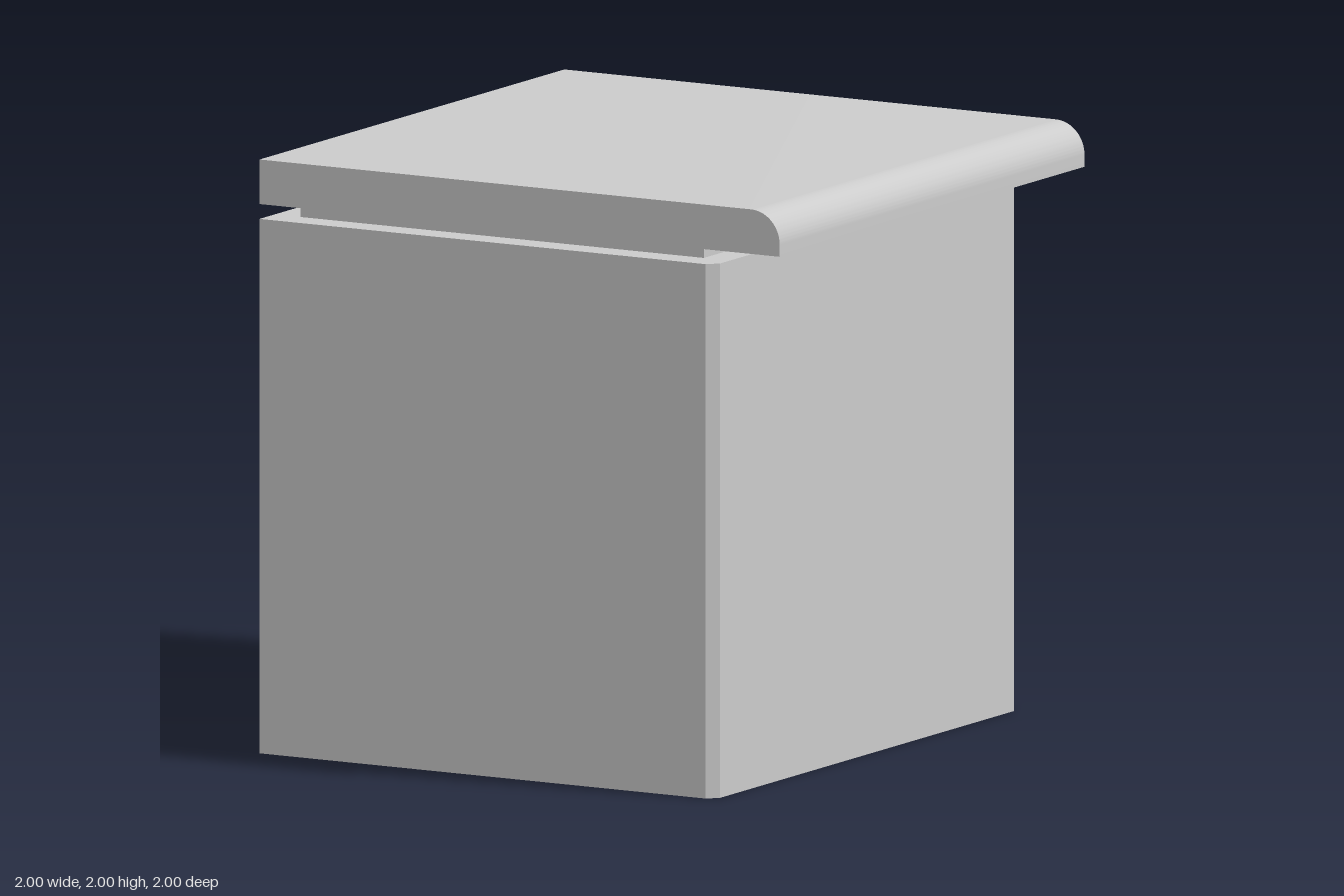
import * as THREE from 'three';
import { toCreasedNormals, mergeGeometries } from 'three/addons/utils/BufferGeometryUtils.js';

const grey = new THREE.MeshStandardMaterial({ color: 0xcccccc, side: THREE.DoubleSide });

function part(name, geometry) {
  const mesh = new THREE.Mesh(geometry, grey);
  mesh.name = name;
  return mesh;
}

// Box given by its extents on each axis
function block(x0, x1, y0, y1, z0, z1) {
  return new THREE.BoxGeometry(x1 - x0, y1 - y0, z1 - z0)
    .translate((x0 + x1) / 2, (y0 + y1) / 2, (z0 + z1) / 2);
}

export function createModel() {
  const model = new THREE.Group();
  model.name = 'cabinet';

  // Body: thin walls, open underneath, with both right corners chamfered
  const height = 1.8;
  const outline = [[-1, 1], [0.715, 1], [0.75, 0.965], [0.75, -0.965], [0.715, -1], [-1, -1]];
  const walls = outline.map(([x, z], i) => {
    const [x2, z2] = outline[(i + 1) % outline.length];
    return new THREE.PlaneGeometry(Math.hypot(x2 - x, z2 - z), height)
      .rotateY(Math.atan2(z - z2, x2 - x))
      .translate((x + x2) / 2, height / 2, (z + z2) / 2);
  });
  model.add(part('bodyWalls', mergeGeometries(walls)));

  // Flat top of the body
  const top = new THREE.Shape(outline.map(([x, z]) => new THREE.Vector2(x, -z)));
  model.add(part('bodyTop', new THREE.ShapeGeometry(top).rotateX(-Math.PI / 2).translate(0, height, 0)));

  // Recessed neck between body and worktop
  model.add(part('neck', block(-0.9, 0.65, 1.8, 1.85, -0.9, 0.9)));

  // Worktop with a rounded overhanging right edge
  const r = 0.11;
  const profile = new THREE.Shape();
  profile.moveTo(-1, 1.85);
  profile.lineTo(1, 1.85);
  profile.lineTo(1, 2 - r);
  profile.absarc(1 - r, 2 - r, r, 0, Math.PI / 2, false);
  profile.lineTo(-1, 2);
  profile.closePath();
  const slab = new THREE.ExtrudeGeometry(profile, { depth: 2, bevelEnabled: false, curveSegments: 16 });
  model.add(part('worktop', toCreasedNormals(slab.translate(0, 0, -1), Math.PI / 5)));

  // Very thin sheet under the worktop
  model.add(part('worktopUnderside', block(-0.97, 0.88, 1.846, 1.85, -0.97, 0.97)));

  return model;
}
